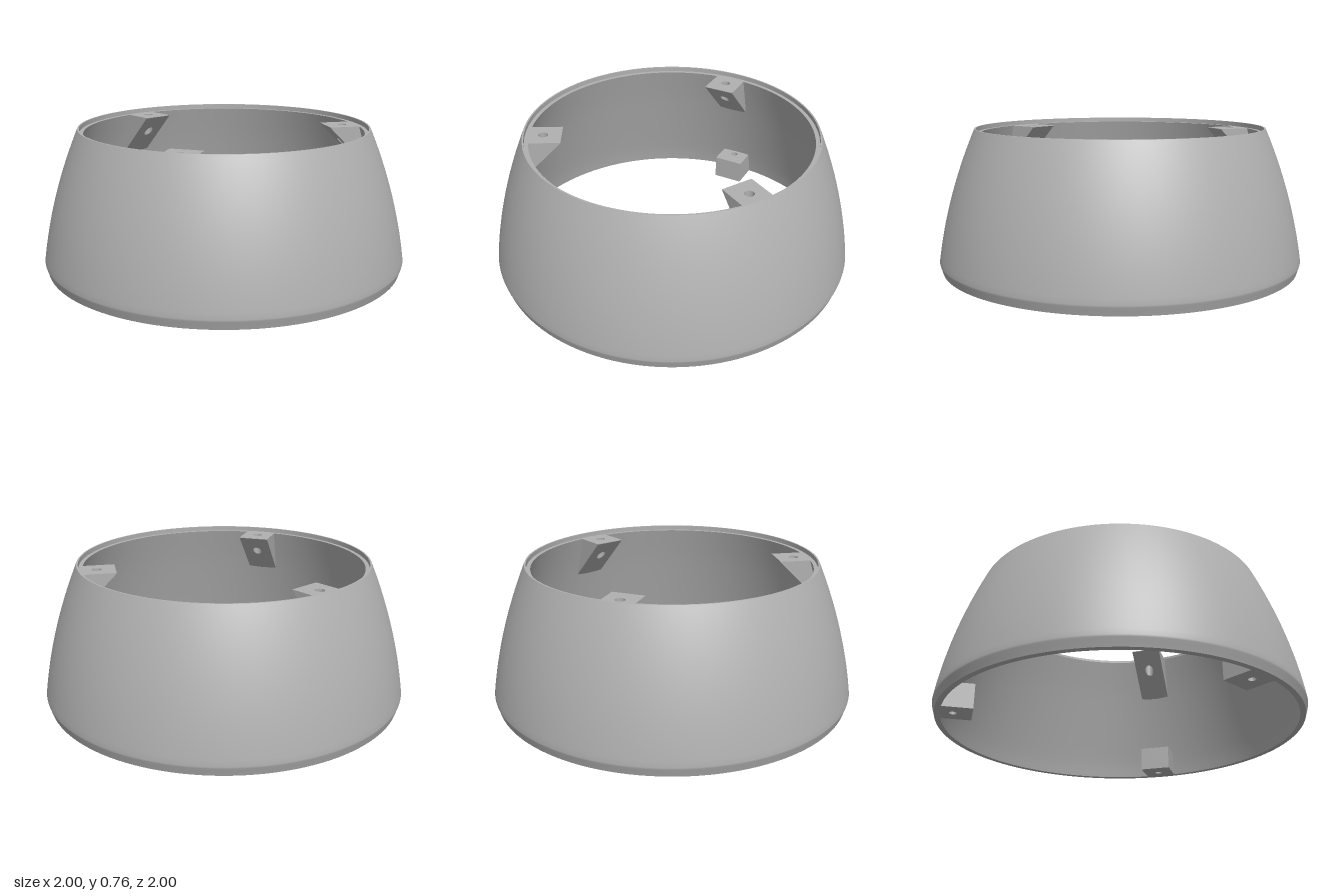
import * as THREE from 'three';

const grey = new THREE.MeshStandardMaterial({ color: 0xb0b0b0 });
grey.name = 'plainGrey';

const LEDGE = 0.74;   // height of the recessed ledge and upper lug tops
const TOP = 0.765;

// Surface of revolution through [radius, height] points; each call is one smooth strip
function ring(name, points) {
  const profile = points.map(([r, y]) => new THREE.Vector2(r, y));
  const mesh = new THREE.Mesh(new THREE.LatheGeometry(profile, 128), grey);
  mesh.name = name;
  return mesh;
}

// Drilled block seen in plan, running from radius r0 to r1 on the back side
function drilledBlock(r0, r1, holeR, holeSize, height) {
  const w = 0.088;
  const plan = new THREE.Shape();
  plan.moveTo(-w, r0).lineTo(w, r0).lineTo(w, r1).lineTo(-w, r1).closePath();
  const hole = new THREE.Path();
  hole.absarc(0, holeR, holeSize, 0, Math.PI * 2, true);
  plan.holes.push(hole);
  const geo = new THREE.ExtrudeGeometry(plan, { depth: height, bevelEnabled: false, curveSegments: 24 });
  return geo.rotateX(-Math.PI / 2);
}

// Upper lug: flat top, 45 degree underside running down to the wall
function upperLugGeometry() {
  const r0 = 0.59, r1 = 0.85;
  const geo = drilledBlock(r0, r1, 0.69, 0.026, 1);
  const p = geo.attributes.position;
  for (let i = 0; i < p.count; i++) {
    const r = -p.getZ(i);
    if (p.getY(i) > 0.5) {
      p.setY(i, LEDGE);
      if (r > r1 - 0.001) p.setZ(i, -0.775);
    } else {
      p.setY(i, LEDGE - 0.003 - (r - r0));
    }
  }
  geo.computeVertexNormals();
  return geo;
}

export function createModel() {
  const model = new THREE.Group();
  model.name = 'taperedRing';

  // Outer wall: small soft foot, then a curve leaning inwards
  const outer = [[0.985, 0], [0.992, 0.025], [0.998, 0.043], [1, 0.053]];
  for (let i = 1; i <= 24; i++) {
    const t = (TOP - 0.053) * i / 24;
    outer.push([1 - 0.14 * t - 0.208 * t * t, 0.053 + t]);
  }
  const rim = outer[outer.length - 1];

  // Inner wall curve, listed from the ledge downwards
  const curve = new THREE.SplineCurve([
    [0.764, LEDGE], [0.822, 0.54], [0.885, 0.3], [0.935, 0.1], [0.955, 0],
  ].map(([r, y]) => new THREE.Vector2(r, y)));
  const inner = curve.getPoints(24).map(v => [v.x, v.y]);

  model.add(
    ring('outerWall', outer),
    ring('topRim', [rim, [0.786, TOP]]),
    ring('rimStep', [[0.786, TOP], [0.786, LEDGE]]),
    ring('ledge', [[0.786, LEDGE], [0.764, LEDGE]]),
    ring('innerWall', inner),
    ring('bottomRim', [[0.955, 0], [0.985, 0]]),
  );

  // Three pairs of mounting lugs
  const upper = upperLugGeometry();
  const lower = drilledBlock(0.79, 0.957, 0.889, 0.02, 0.137);
  for (let i = 0; i < 3; i++) {
    const pair = new THREE.Group();
    pair.name = 'lugPair' + (i + 1);
    const up = new THREE.Mesh(upper, grey);
    up.name = 'upperLug';
    const low = new THREE.Mesh(lower, grey);
    low.name = 'lowerLug';
    pair.add(up, low);
    pair.rotation.y = i * Math.PI * 2 / 3;
    model.add(pair);
  }
  return model;
}
